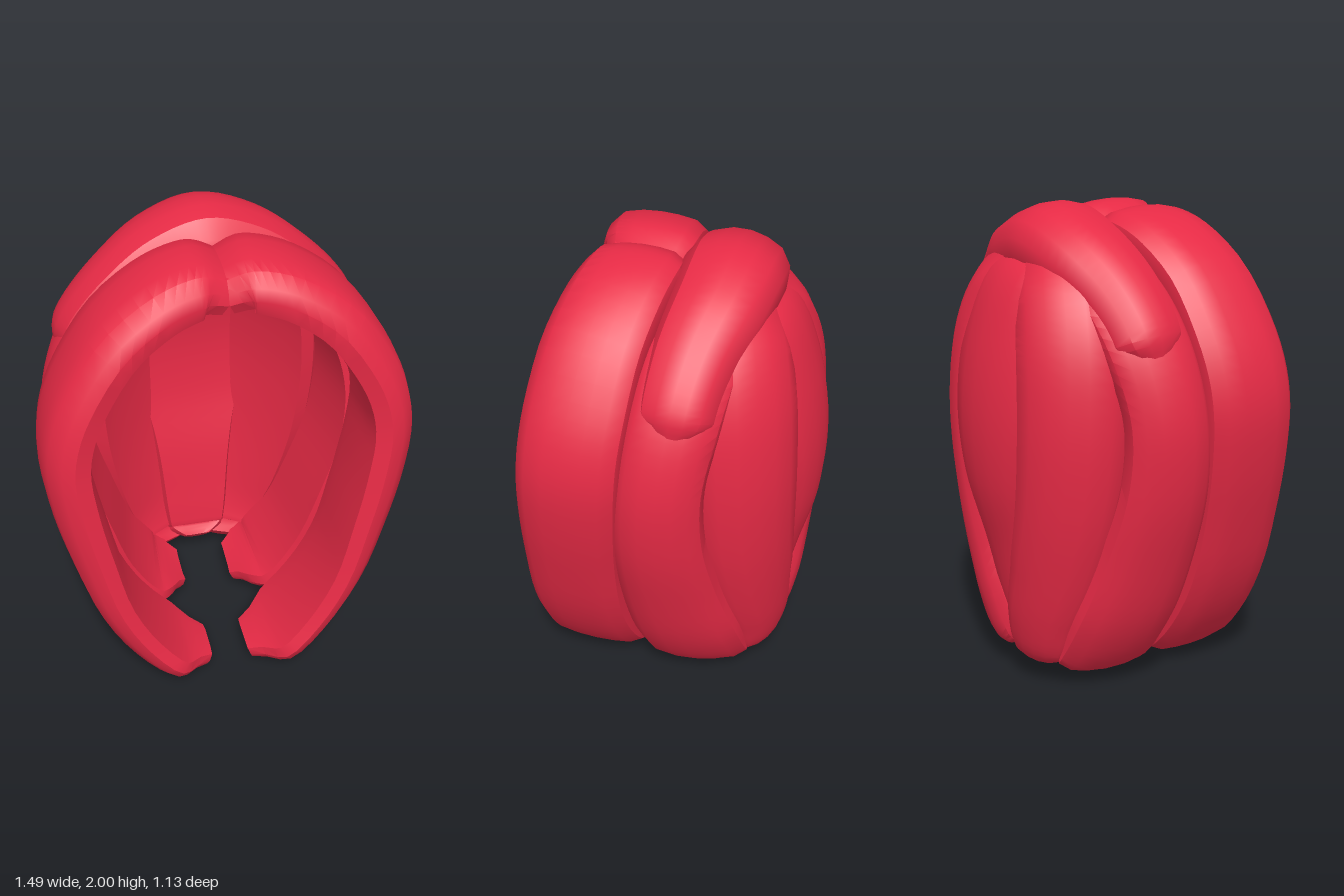
import * as THREE from 'three';
import { toCreasedNormals } from 'three/addons/utils/BufferGeometryUtils.js';

const material = new THREE.MeshStandardMaterial({ color: 0xe62a45 });

// Rounded lock cross-section: [across the width, depth below the outer surface]
const SECTION = [
  [-1, 0.55], [-0.94, 0.27], [-0.7, 0.08], [-0.35, 0.02], [0, 0], [0.35, 0.02], [0.7, 0.1],
  [0.93, 0.36], [1, 0.62], [0.9, 0.95], [0.5, 1], [-0.5, 1], [-0.88, 0.92],
];
const STEPS = 40;

// Rounds off the last part of a lock
const taper = (s, length, min) => {
  if (s >= length) return 1;
  const k = 1 - s / length;
  return Math.max(min, Math.sqrt(1 - k * k));
};

// Sweeps the section along the lock's outer surface.
// stations: [x, y, z, halfWidth, thickness]; across(p) gives the width direction.
function lock(name, stations, { across, bulge = 0, start = 0, end = 0.1, side = 1 }) {
  const path = new THREE.CatmullRomCurve3(stations.map(s => new THREE.Vector3(s[0], s[1], s[2])));
  const size = new THREE.CatmullRomCurve3(
    stations.map(s => new THREE.Vector3(s[3], s[4], 0)), false, 'catmullrom');
  const n = SECTION.length;
  const pos = [], index = [];
  const tri = (a, b, c) => (side > 0 ? index.push(a, b, c) : index.push(a, c, b));

  for (let i = 0; i <= STEPS; i++) {
    const s = i / STEPS;
    const p = path.getPoint(s), t = path.getTangent(s), { x: w, y: thick } = size.getPoint(s);
    const b = across(p);
    b.addScaledVector(t, -b.dot(t)).normalize();
    const out = new THREE.Vector3().crossVectors(b, t);
    const e = taper(s, start, 0.5) * taper(1 - s, end, 0.5);
    for (const [u, v] of SECTION) {
      const depth = thick * (0.5 + (v - 0.5) * Math.sqrt(e)) + bulge * w * u * u;
      const q = p.clone().addScaledVector(b, u * w * e).addScaledVector(out, -depth);
      pos.push(q.x * side, q.y, q.z);
    }
  }
  for (let i = 0; i < STEPS; i++) {
    for (let j = 0; j < n; j++) {
      const a = i * n + j, b = i * n + (j + 1) % n;
      tri(a, b, b + n);
      tri(a, b + n, a + n);
    }
  }
  // End caps
  const last = STEPS * n;
  for (let j = 1; j < n - 1; j++) {
    tri(0, j + 1, j);
    tri(last, last + j, last + j + 1);
  }
  const geometry = new THREE.BufferGeometry();
  geometry.setAttribute('position', new THREE.Float32BufferAttribute(pos, 3));
  geometry.setIndex(index);
  const mesh = new THREE.Mesh(toCreasedNormals(geometry, 0.6), material);
  mesh.name = name;
  return mesh;
}

export function createModel() {
  const group = new THREE.Group();
  group.name = 'hair';
  const fixed = (x, y, z) => () => new THREE.Vector3(x, y, z);
  const around = p => new THREE.Vector3(-p.z, 0, p.x);

  // Paired locks, mirrored left and right; the front ones meet in a crease at the parting
  const front = [
    [-0.03, 1.92, 0.19, 0.17, 0.15], [0.08, 1.97, 0.195, 0.195, 0.18], [0.18, 1.965, 0.205, 0.2, 0.19],
    [0.32, 1.915, 0.225, 0.205, 0.19], [0.5, 1.785, 0.255, 0.21, 0.19], [0.65, 1.57, 0.28, 0.215, 0.19],
    [0.72, 1.4, 0.295, 0.215, 0.19], [0.745, 1.23, 0.305, 0.215, 0.19], [0.72, 1.0, 0.32, 0.212, 0.19],
    [0.66, 0.75, 0.335, 0.208, 0.18], [0.57, 0.47, 0.345, 0.21, 0.16], [0.44, 0.23, 0.345, 0.215, 0.15],
    [0.28, 0.055, 0.345, 0.22, 0.14], [0.12, -0.01, 0.345, 0.21, 0.13],
  ];
  const middle = [
    [0.2, 1.86, -0.12, 0.2, 0.15], [0.43, 1.74, -0.11, 0.2, 0.16], [0.6, 1.53, -0.09, 0.19, 0.17],
    [0.685, 1.25, -0.06, 0.18, 0.17], [0.675, 0.95, -0.05, 0.19, 0.17], [0.59, 0.62, -0.07, 0.21, 0.17],
    [0.47, 0.3, -0.11, 0.23, 0.16], [0.32, 0.09, -0.12, 0.23, 0.15], [0.16, 0.01, -0.13, 0.21, 0.13],
  ];
  const backSide = [
    [0.18, 1.86, -0.27, 0.2, 0.18], [0.32, 1.71, -0.34, 0.22, 0.19], [0.41, 1.5, -0.38, 0.23, 0.19],
    [0.445, 1.2, -0.4, 0.23, 0.19], [0.41, 0.85, -0.41, 0.22, 0.18], [0.32, 0.55, -0.425, 0.2, 0.16],
    [0.22, 0.31, -0.43, 0.17, 0.14], [0.16, 0.14, -0.39, 0.15, 0.13], [0.13, 0.08, -0.32, 0.13, 0.1],
  ];
  for (const [label, side] of [['left', 1], ['right', -1]]) {
    group.add(
      lock(label + 'FrontLock', front, { across: fixed(0, 0, 1), side, end: 0.1 }),
      lock(label + 'MiddleLock', middle, { across: fixed(0.2, 0, 1), bulge: 0.1, side, end: 0.11 }),
      lock(label + 'BackLock', backSide, { across: around, bulge: 0.16, side, end: 0.08 }),
    );
  }

  // Centre lock down the back
  group.add(lock('centreBackLock', [
    [0, 1.86, -0.26, 0.24, 0.12], [0, 1.755, -0.41, 0.29, 0.14], [0, 1.5, -0.515, 0.31, 0.15],
    [0, 1.2, -0.565, 0.29, 0.15], [0, 0.9, -0.55, 0.24, 0.15], [0, 0.6, -0.475, 0.18, 0.14],
    [0, 0.32, -0.41, 0.15, 0.12], [0, 0.16, -0.36, 0.13, 0.1], [0, 0.11, -0.3, 0.12, 0.08],
  ], { across: fixed(1, 0, 0), bulge: 0.2, end: 0.06 }));

  // Crown lock lying over the top from side to side
  const crown = [
    [0.645, 1.49, -0.09, 0.16, 0.22], [0.58, 1.63, -0.1, 0.165, 0.24], [0.44, 1.79, -0.125, 0.18, 0.25],
    [0.24, 1.93, -0.17, 0.2, 0.25],
  ];
  group.add(lock('crownLock', [
    ...crown.map(([x, ...rest]) => [-x, ...rest]), [0, 2, -0.185, 0.21, 0.25], ...crown.slice().reverse(),
  ], { across: fixed(0, 0.16, 1), bulge: 0.14, start: 0.08, end: 0.08 }));

  return group;
}
